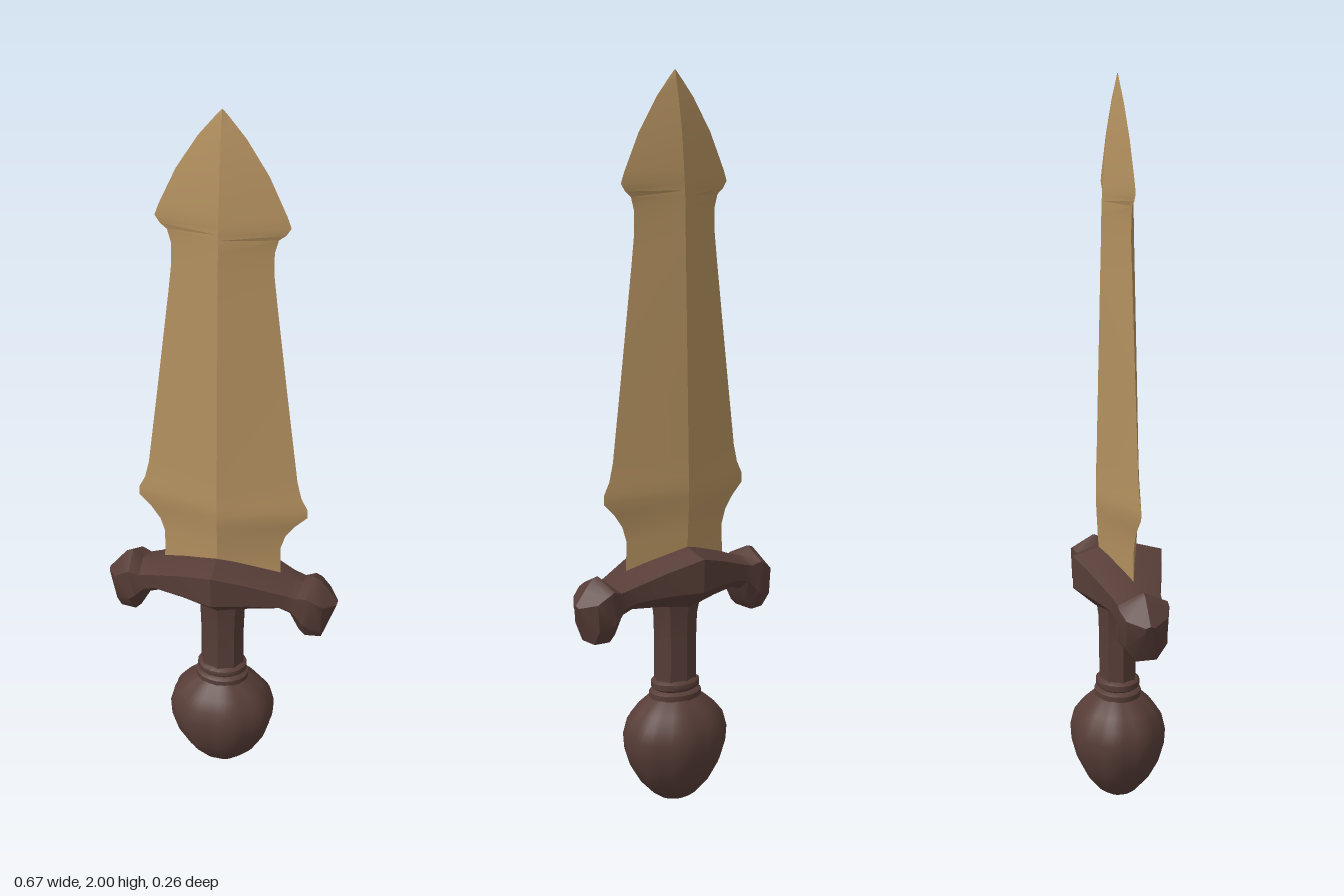
import * as THREE from 'three';
import { toCreasedNormals } from 'three/addons/utils/BufferGeometryUtils.js';

// Skin a list of closed rings (counterclockwise about the travel axis) and cap both ends.
function loft(rings, crease) {
  const n = rings[0].length;
  const points = rings.flat();
  const index = [];
  for (let j = 0; j < rings.length - 1; j++) {
    for (let i = 0; i < n; i++) {
      const a = j * n + i, b = j * n + (i + 1) % n;
      index.push(a, b, b + n, a, b + n, a + n);
    }
  }
  const last = (rings.length - 1) * n;
  for (const [start, top] of [[0, false], [last, true]]) {
    const centre = new THREE.Vector3();
    for (let i = 0; i < n; i++) centre.addScaledVector(points[start + i], 1 / n);
    const c = points.push(centre) - 1;
    for (let i = 0; i < n; i++) {
      const a = start + i, b = start + (i + 1) % n;
      index.push(c, top ? a : b, top ? b : a);
    }
  }
  const geo = new THREE.BufferGeometry().setFromPoints(points);
  geo.setIndex(index);
  return toCreasedNormals(geo, crease);
}

// Horizontal ring with half sizes rx, rz; shape(angle) scales the radius.
function ring(y, rx, rz, sides, shape = () => 1) {
  return Array.from({ length: sides }, (_, i) => {
    const a = (i / sides) * Math.PI * 2, s = shape(a);
    return new THREE.Vector3(Math.cos(a) * rx * s, y, -Math.sin(a) * rz * s);
  });
}

export function createModel() {
  const group = new THREE.Group();
  const bronze = new THREE.MeshStandardMaterial({ color: 0xb3905f });
  bronze.name = 'bronze';
  const darkWood = new THREE.MeshStandardMaterial({ color: 0x573d37 });
  darkWood.name = 'darkBrown';

  const add = (name, geo, material) => {
    const mesh = new THREE.Mesh(geo, material);
    mesh.name = name;
    group.add(mesh);
  };

  // Blade: diamond sections [height, half width, half depth]
  const blade = [
    [0.62, 0.17, 0.05], [0.7, 0.168, 0.052], [0.76, 0.167, 0.056], [0.8, 0.18, 0.058],
    [0.835, 0.205, 0.06], [0.87, 0.24, 0.061], [0.895, 0.24, 0.061], [0.93, 0.222, 0.06],
    [0.98, 0.21, 0.059], [1.2, 0.182, 0.054], [1.5, 0.145, 0.047], [1.58, 0.136, 0.045],
    [1.64, 0.136, 0.044], [1.675, 0.146, 0.043], [1.69, 0.165, 0.042], [1.71, 0.178, 0.041],
    [1.74, 0.167, 0.039], [1.84, 0.12, 0.03], [1.93, 0.062, 0.015], [1.98, 0.02, 0.005],
    [2, 0.002, 0.001],
  ];
  add('blade', loft(blade.map(([y, w, d]) => ring(y, w, d, 4)), 0.35), bronze);

  // Crossguard: tilted stations [top x, top y, bottom x, bottom y, half depth]
  const half = [
    [0, 0.745, 0, 0.56, 0.127], [0.1, 0.706, 0.1, 0.575, 0.096],
    [0.2, 0.665, 0.175, 0.58, 0.067], [0.235, 0.657, 0.205, 0.568, 0.062],
    [0.264, 0.68, 0.232, 0.52, 0.068], [0.282, 0.674, 0.25, 0.502, 0.068],
    [0.305, 0.647, 0.295, 0.502, 0.056], [0.335, 0.61, 0.327, 0.585, 0.012],
  ];
  const stations = [
    ...half.slice(1).reverse().map(([tx, ty, bx, by, d]) => [-tx, ty, -bx, by, d]),
    ...half,
  ];
  // Section corners [position from top to bottom, depth factor]
  const corners = [[0, 0], [0.2, 1], [0.7, 1], [1, 0.5], [1, -0.5], [0.7, -1], [0.2, -1]];
  const guardRings = stations.map(([tx, ty, bx, by, d]) => corners.map(([t, k]) =>
    new THREE.Vector3(tx + (bx - tx) * t, ty + (by - ty) * t, d * k)));
  add('crossguard', loft(guardRings, 0.6), darkWood);

  // Grip: eight-sided, flaring slightly into the guard
  const grip = [[0.28, 0.064, 0.053], [0.45, 0.063, 0.053], [0.53, 0.066, 0.055], [0.6, 0.082, 0.065]];
  add('grip', loft(grip.map(([y, w, d]) => ring(y, w, d, 8)), 0.6), darkWood);

  // Collar rings at the foot of the grip
  for (const [y, w] of [[0.3, 0.077], [0.33, 0.072]]) {
    const bead = [[-0.016, 0.84], [-0.008, 1], [0.008, 1], [0.016, 0.84]];
    add('collarRing', loft(bead.map(([h, s]) => ring(y + h, w * s, w * s * 0.84, 20)), 0.9), darkWood);
  }

  // Pommel: bulb with eight soft lobes
  const bulb = [
    [0, 0.05], [0.012, 0.068], [0.05, 0.105], [0.1, 0.135], [0.15, 0.151], [0.19, 0.154],
    [0.23, 0.143], [0.26, 0.118], [0.285, 0.088], [0.3, 0.066],
  ];
  const lobes = (a) => 0.965 + 0.04 * Math.abs(Math.sin(4 * a));
  add('pommel', loft(bulb.map(([y, r]) => ring(y, r, r * 0.86, 48, lobes)), 0.5), darkWood);

  return group;
}
